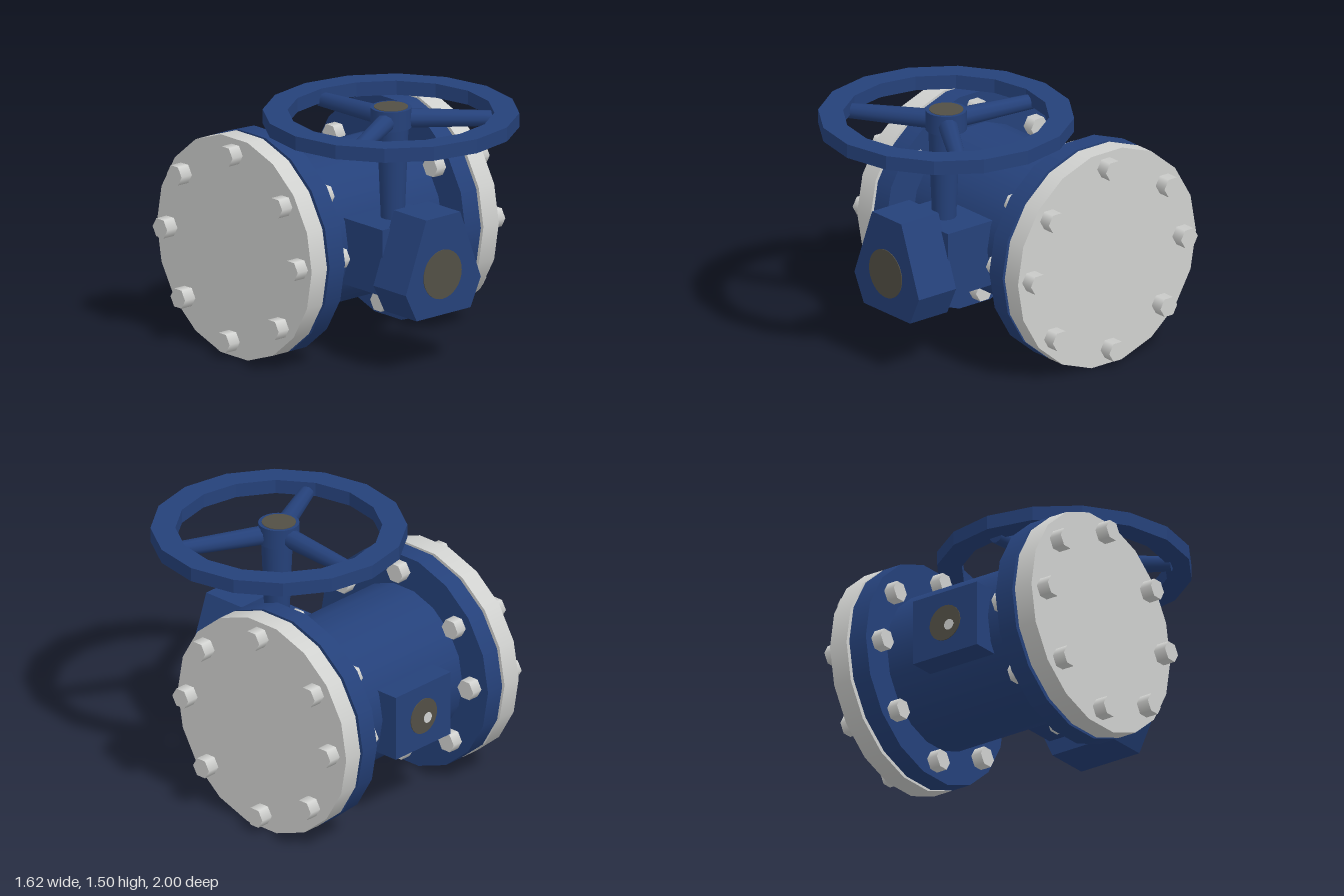
import * as THREE from 'three';

const blue = new THREE.MeshStandardMaterial({ color: 0x25417a });
blue.name = 'blue paint';
const steel = new THREE.MeshStandardMaterial({ color: 0xd0d1cf });
steel.name = 'light steel';
const bronze = new THREE.MeshStandardMaterial({ color: 0x524f45 });
bronze.name = 'dark bronze';

const AXIS_Y = 0.66, AXIS_Z = -0.33; // pipe axis, running along x
const HUB_X = -0.03, HUB_Z = 0.25;   // handwheel axis, running along y

export function createModel() {
  const model = new THREE.Group();
  model.name = 'gateValve';

  const add = (name, geometry, material, x = 0, y = 0, z = 0) => {
    const mesh = new THREE.Mesh(geometry, material);
    mesh.name = name;
    mesh.position.set(x, y, z);
    model.add(mesh);
    return mesh;
  };
  // Cylinder lying along x
  const xCylinder = (r, length, sides) =>
    new THREE.CylinderGeometry(r, r, length, sides).rotateZ(Math.PI / 2);
  const polygon = (r, sides, Type) => {
    const points = [];
    for (let i = 0; i < sides; i++) {
      const a = (i / sides) * Math.PI * 2;
      points.push(new THREE.Vector2(r * Math.cos(a), r * Math.sin(a)));
    }
    return new Type(points);
  };

  // Pipe body
  add('body', xCylinder(0.465, 1.0, 18), blue, 0, AXIS_Y, AXIS_Z);

  // Flanges, cover plates and bolts at both ends
  const flange = xCylinder(0.67, 0.12, 18);
  const bolt = xCylinder(0.063, 0.41, 6);
  const boltCentres = [ // [z, y]
    [0.245, 0.665], [0.11, 1.015], [-0.32, 1.23], [-0.76, 1.015],
    [-0.885, 0.665], [-0.73, 0.275], [-0.345, 0.095], [0.08, 0.27],
  ];
  for (const side of [-1, 1]) {
    add('flange', flange, blue, side * 0.53, AXIS_Y, AXIS_Z);
    add('coverPlate', flange, steel, side * 0.67, AXIS_Y, AXIS_Z);
    for (const [z, y] of boltCentres) add('bolt', bolt, steel, side * 0.605, y, z);
  }

  // Block passing through the body, showing at front and back
  add('crossBlock', new THREE.BoxGeometry(0.465, 0.4, 1.33), blue, -0.028, 0.64, -0.235);
  const backCap = new THREE.CylinderGeometry(0.11, 0.11, 0.008, 24).rotateX(Math.PI / 2);
  add('backPort', backCap, bronze, -0.03, 0.64, -0.901);
  const pin = new THREE.CylinderGeometry(0.033, 0.033, 0.008, 16).rotateX(Math.PI / 2);
  add('backPin', pin, steel, -0.06, 0.62, -0.904);

  // Six-sided gear housing at the front
  const housing = new THREE.Shape([
    [-0.16, 0.94], [-0.32, 0.515], [-0.235, 0.345],
    [0.185, 0.345], [0.265, 0.515], [0.105, 0.94],
  ].map(([x, y]) => new THREE.Vector2(x, y)));
  add('gearHousing', new THREE.ExtrudeGeometry(housing, { depth: 0.28, bevelEnabled: false }),
    blue, 0, 0, 0.42);
  const frontCap = new THREE.CylinderGeometry(0.148, 0.148, 0.008, 32).rotateX(Math.PI / 2);
  add('housingCap', frontCap, bronze, -0.035, 0.59, 0.7);

  // Tapered stem
  add('stem', new THREE.CylinderGeometry(0.094, 0.068, 0.64, 18), blue, HUB_X, 1.1, 0.265);

  // Handwheel rim
  const rim = polygon(0.745, 16, THREE.Shape);
  rim.holes.push(polygon(0.6, 16, THREE.Path));
  const rimGeometry = new THREE.ExtrudeGeometry(rim, { depth: 0.085, bevelEnabled: false })
    .rotateX(-Math.PI / 2);
  add('wheelRim', rimGeometry, blue, HUB_X, 1.39, HUB_Z);

  // Handwheel hub
  add('wheelHub', new THREE.CylinderGeometry(0.12, 0.12, 0.12, 24), blue, HUB_X, 1.442, HUB_Z);
  add('hubCap', new THREE.CylinderGeometry(0.1, 0.1, 0.006, 24), bronze, HUB_X, 1.502, HUB_Z);

  // Three spokes sloping slightly down to the rim
  const up = new THREE.Vector3(0, 1, 0);
  for (let i = 0; i < 3; i++) {
    const a = -Math.PI / 2 + 0.04 + (i * Math.PI * 2) / 3;
    const start = new THREE.Vector3(HUB_X, 1.435, HUB_Z);
    const end = new THREE.Vector3(HUB_X + 0.63 * Math.cos(a), 1.4, HUB_Z + 0.63 * Math.sin(a));
    const along = end.clone().sub(start);
    const spoke = add('wheelSpoke',
      new THREE.CylinderGeometry(0.045, 0.06, along.length(), 10), blue);
    spoke.position.copy(start).addScaledVector(along, 0.5);
    spoke.quaternion.setFromUnitVectors(up, along.normalize());
  }

  return model;
}
